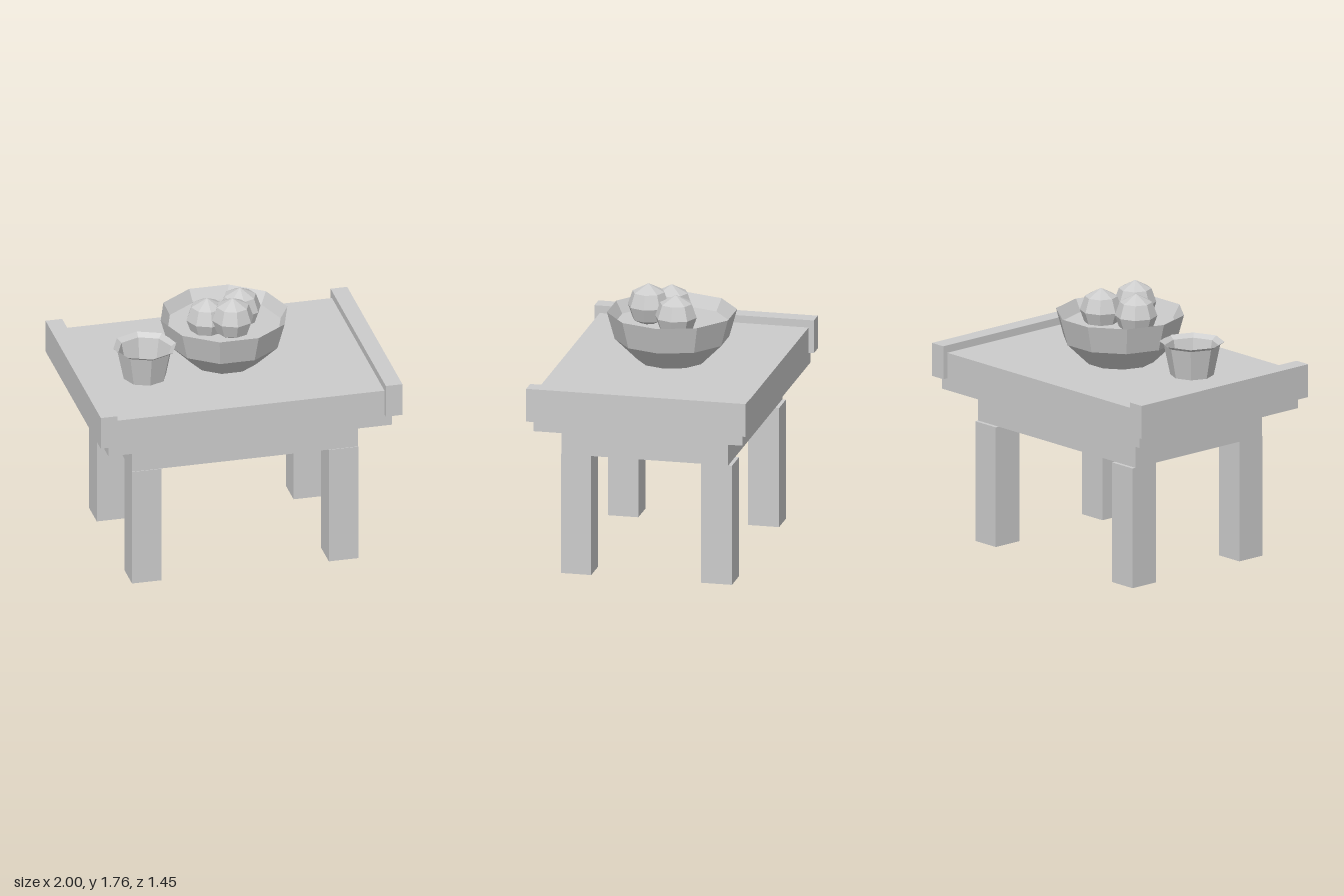
import * as THREE from 'three';

const material = new THREE.MeshStandardMaterial({ color: 0xcccccc, flatShading: true, side: THREE.DoubleSide });

// Box given by its minimum and maximum corners
function box(name, [x0, y0, z0], [x1, y1, z1]) {
  const mesh = new THREE.Mesh(new THREE.BoxGeometry(x1 - x0, y1 - y0, z1 - z0), material);
  mesh.position.set((x0 + x1) / 2, (y0 + y1) / 2, (z0 + z1) / 2);
  mesh.name = name;
  return mesh;
}

// Faceted turned shape from [radius, height] pairs, with a corner on +x
function turned(name, profile, sides, x, y, z) {
  const points = profile.map(([r, h]) => new THREE.Vector2(r, h));
  const mesh = new THREE.Mesh(new THREE.LatheGeometry(points, sides, Math.PI / 2), material);
  mesh.position.set(x, y, z);
  mesh.name = name;
  return mesh;
}

export function createModel() {
  const model = new THREE.Group();
  model.name = 'tableWithFruitBowl';

  // Table body
  model.add(box('apron', [-0.75, 0.8, -0.55], [0.75, 1, 0.55]));
  model.add(box('tableTop', [-0.94, 1, -0.69], [0.94, 1.25, 0.69]));

  // Legs and raised end rails, mirrored left and right
  for (const [side, s] of [['left', 1], ['right', -1]]) {
    const [legA, legB] = s > 0 ? [0.555, 0.75] : [-0.75, -0.555];
    const [railA, railB] = s > 0 ? [0.89, 1] : [-1, -0.89];
    model.add(box(side + 'FrontLeg', [legA, 0, 0.355], [legB, 0.8, 0.555]));
    model.add(box(side + 'BackLeg', [legA, 0, -0.575], [legB, 0.8, -0.37]));
    model.add(box(side + 'EndRail', [railA, 1.08, -0.725], [railB, 1.3, 0.725]));
  }

  // Bowl with a shallow inner floor
  const bowlProfile = [[0, 0.005], [0.22, 0.005], [0.37, 0.15], [0.42, 0.33], [0.375, 0.25], [0, 0.25]];
  model.add(turned('bowl', bowlProfile, 10, 0, 1.25, 0));

  // Cup with a flared lip
  const cupProfile = [[0, 0.004], [0.14, 0.004], [0.182, 0.205], [0.21, 0.225], [0.175, 0.2], [0.135, 0.012], [0, 0.012]];
  model.add(turned('cup', cupProfile, 8, -0.555, 1.25, 0.12));

  // Fruit, placed by their centres
  const fruitProfile = [[0, -0.145], [0.105, -0.09], [0.137, 0], [0.105, 0.09], [0, 0.145]];
  const fruits = new THREE.Group();
  fruits.name = 'fruits';
  for (const [x, y, z] of [[0.02, 1.615, 0.15], [0.12, 1.58, -0.055], [-0.12, 1.575, 0.03]]) {
    fruits.add(turned('fruit', fruitProfile, 8, x, y, z));
  }
  model.add(fruits);

  return model;
}
